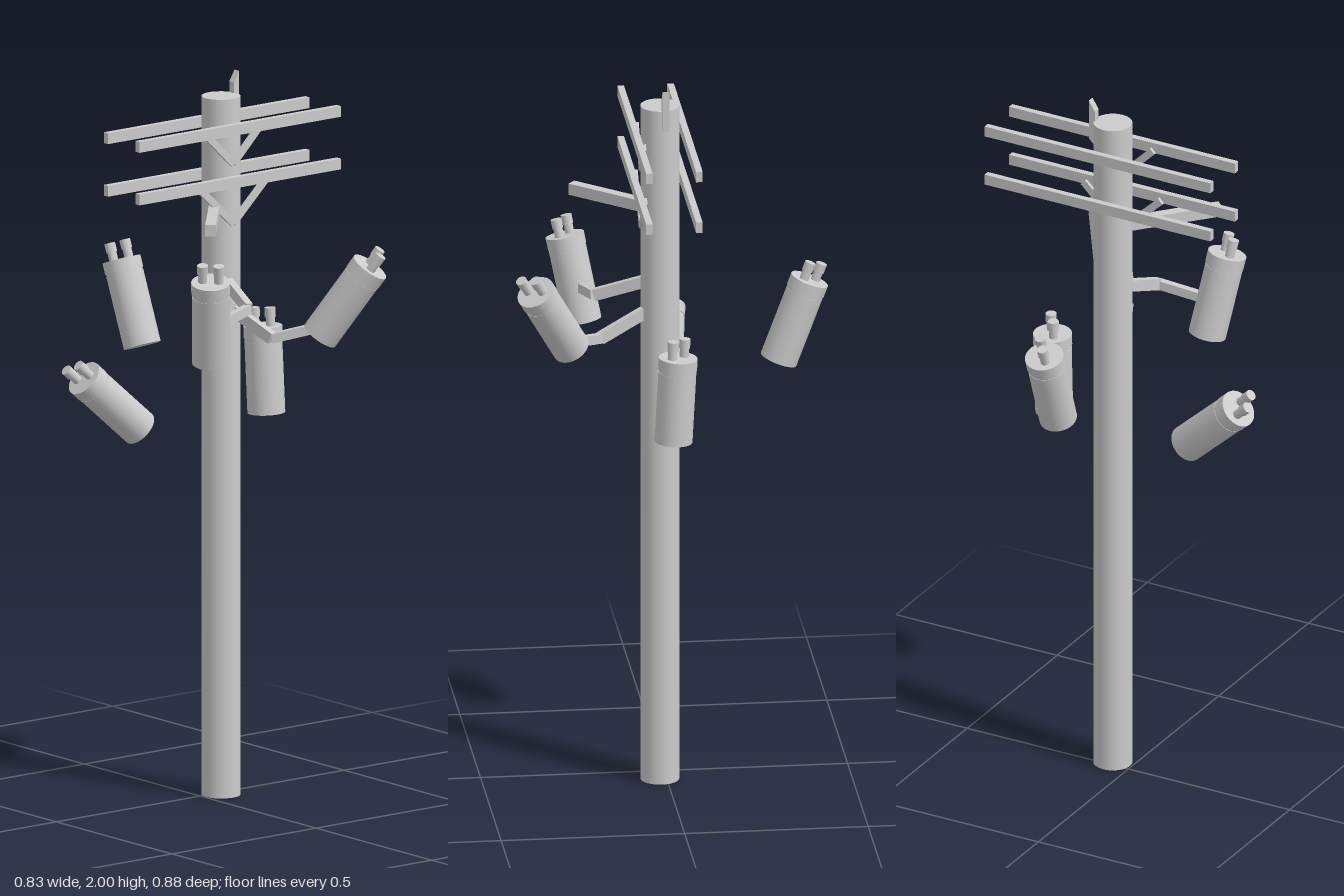
import * as THREE from 'three';

const material = new THREE.MeshStandardMaterial({ color: 0xcccccc });
const V = (p) => new THREE.Vector3(...p);

export function createModel() {
  const model = new THREE.Group();

  const add = (name, geometry, parent = model) => {
    const mesh = new THREE.Mesh(geometry, material);
    mesh.name = name;
    parent.add(mesh);
    return mesh;
  };

  // Rectangular bar between two points, w wide (sideways) and h high
  const beam = (name, a, b, w, h, parent = model) => {
    const from = V(a), to = V(b);
    const mesh = add(name, new THREE.BoxGeometry(w, h, from.distanceTo(to)), parent);
    mesh.position.copy(from).add(to).multiplyScalar(0.5);
    mesh.lookAt(to);
    return mesh;
  };

  // Upright cylinder standing on height y of its parent
  const drum = (name, r, y, h, parent, x = 0) => {
    const mesh = add(name, new THREE.CylinderGeometry(r, r, h, 32), parent);
    mesh.position.set(x, y + h / 2, 0);
    return mesh;
  };

  // Pole
  const px = 0.058, pz = 0.018;
  const pole = drum('pole', 0.053, 0, 1.94, model, px);
  pole.position.z = pz;

  // Slanted pin at the pole top
  const pinShape = new THREE.Shape([[0, 0], [0.018, 0], [0.018, 0.115], [0, 0.085]].map((p) => new THREE.Vector2(...p)));
  const pin = add('topPin', new THREE.ExtrudeGeometry(pinShape, { depth: 0.02, bevelEnabled: false }));
  pin.position.set(0.103, 1.885, -0.002);

  // Two pairs of crossarms, with V braces on the front of the pole
  for (const [y, spread, foot] of [[1.859, 0.095, 1.76], [1.713, 0.12, 1.595]]) {
    for (const z of [-0.05, 0.086]) {
      const arm = add('crossarm', new THREE.BoxGeometry(0.7, 0.03, 0.018));
      arm.position.set(0.063, y, z);
    }
    for (const side of [-1, 1]) {
      beam('crossarmBrace', [px, foot, 0.07], [px + side * spread, y - 0.005, 0.07], 0.009, 0.02);
    }
  }

  // Side bracket
  beam('sideBracket', [0.04, 1.634, 0.015], [-0.153, 1.634, 0.235], 0.029, 0.032);

  // Bent arms that carry the front transformers
  const supports = [
    [[0.047, 1.43, 0.06], [0.014, 1.385, 0.192], [-0.1, 1.365, 0.215]],
    [[0.07, 1.35, 0.06], [0.1, 1.29, 0.185], [0.185, 1.315, 0.25]],
  ];
  for (const [a, b, c] of supports) {
    const support = new THREE.Group();
    support.name = 'transformerArm';
    beam('innerArm', a, b, 0.02, 0.032, support);
    beam('outerArm', b, c, 0.02, 0.026, support);
    model.add(support);
  }

  // Transformers: base centre, top centre, direction of the bushing row
  const transformers = [
    [[-0.129, 1.26, 0.207], [-0.166, 1.495, 0.252], [1, 0, 1]],
    [[0.195, 1.3, 0.275], [0.283, 1.497, 0.382], [0.5, 0, -0.9]],
    [[-0.193, 1.045, -0.022], [-0.367, 1.205, -0.046], [0.6, 0, 0.8]],
    [[0.23, 1.033, 0], [0.228, 1.272, -0.013], [0.6, 0, 0.8]],
    [[0.046, 1.19, -0.307], [0.042, 1.415, -0.392], [0.55, 0, 0.83]],
  ];
  for (const [base, top, row] of transformers) {
    const unit = new THREE.Group();
    unit.name = 'transformer';
    const yAxis = V(top).sub(V(base));
    const length = yAxis.length();
    yAxis.normalize();
    const zAxis = V(row).cross(yAxis).normalize();
    const xAxis = yAxis.clone().cross(zAxis);
    unit.quaternion.setFromRotationMatrix(new THREE.Matrix4().makeBasis(xAxis, yAxis, zAxis));
    unit.position.copy(V(base));

    drum('tank', 0.0515, 0, length - 0.04, unit);
    drum('tankNeck', 0.0505, length - 0.04, 0.007, unit);
    drum('lid', 0.053, length - 0.033, 0.033, unit);
    for (const x of [-0.022, 0.022]) {
      drum('bushingStem', 0.0125, length, 0.03, unit, x);
      drum('bushingCap', 0.015, length + 0.025, 0.025, unit, x);
    }
    model.add(unit);
  }

  return model;
}
